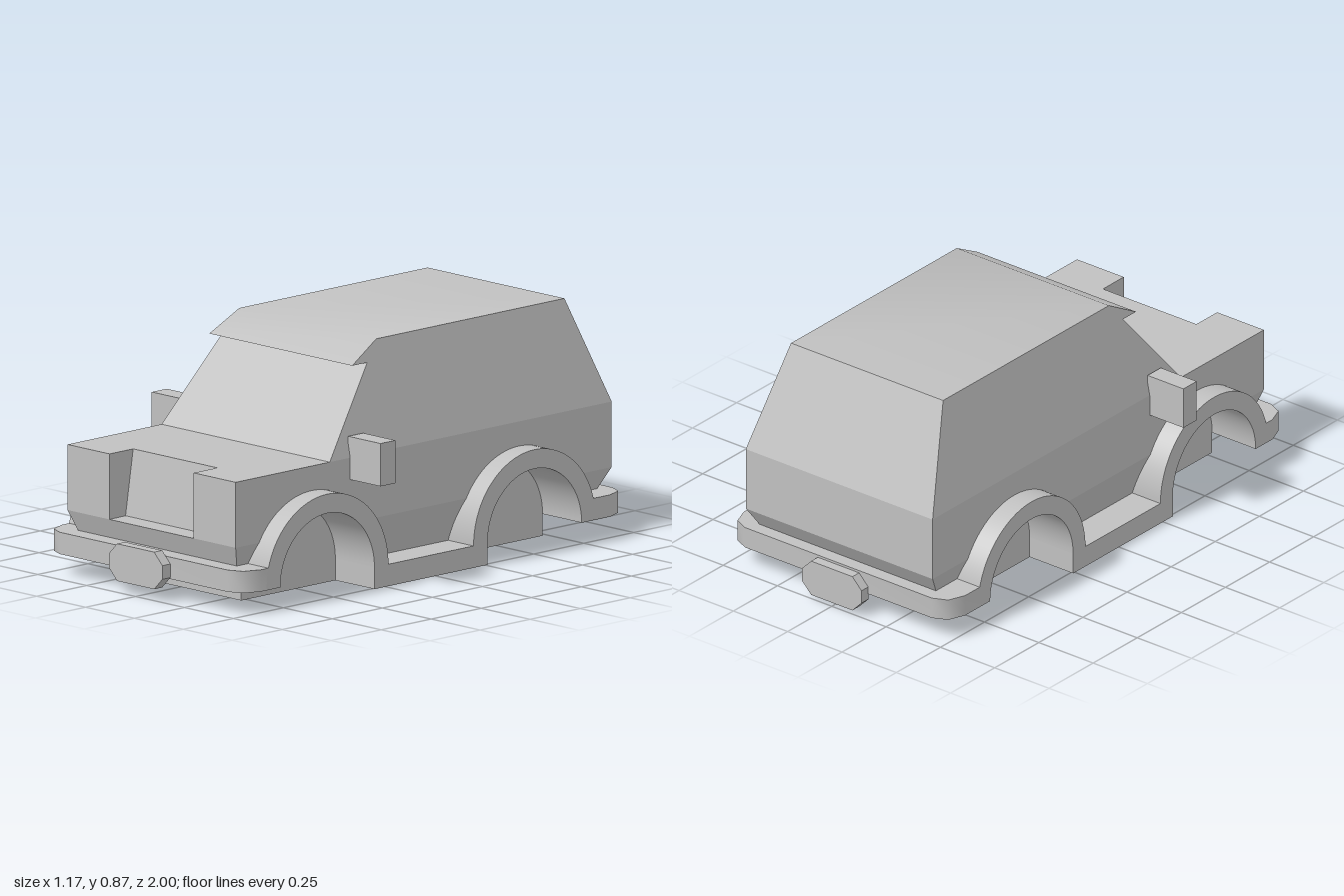
import * as THREE from 'three';
import { toCreasedNormals } from 'three/addons/utils/BufferGeometryUtils.js';

export function createModel() {
  const car = new THREE.Group();
  car.name = 'car';
  const grey = new THREE.MeshStandardMaterial({ color: 0xc0c0c0 });
  grey.name = 'plain grey';

  const WHEEL_Z = { front: 0.54, rear: -0.495 };
  const AXLE_Y = 0.08, WELL_R = 0.235, ARCH_R = 0.305, WELL_X = 0.31, TRIM_X = 0.51;
  const BELT = 0.475, CREASE = 0.235;

  function add(name, geometry) {
    const mesh = new THREE.Mesh(geometry, grey);
    mesh.name = name;
    car.add(mesh);
    return mesh;
  }
  function box(name, x0, x1, y0, y1, z0, z1) {
    add(name, new THREE.BoxGeometry(x1 - x0, y1 - y0, z1 - z0))
      .position.set((x0 + x1) / 2, (y0 + y1) / 2, (z0 + z1) / 2);
  }
  const outline = (points) => new THREE.Shape(points.map(([a, b]) => new THREE.Vector2(a, b)));
  const at = (v, y) => (typeof v === 'function' ? v(y) : v);

  // Side profile (z, y) spanned across x, from high to low; widths may vary with y
  function slab(name, shape, high, low) {
    const g = new THREE.ExtrudeGeometry(shape, { depth: 1, bevelEnabled: false, curveSegments: 28 });
    const p = g.attributes.position;
    for (let i = 0; i < p.count; i++) {
      const z = p.getX(i), y = p.getY(i), t = p.getZ(i);
      p.setXYZ(i, at(high, y) * (1 - t) + at(low, y) * t, y, z);
    }
    add(name, toCreasedNormals(g, 0.55));
  }
  function slabPair(name, shape, inner, outer) {
    slab(name + 'Left', shape, outer, inner);
    slab(name + 'Right', shape, (y) => -at(inner, y), (y) => -at(outer, y));
  }

  // Half-widths of the cabin and of the tapered skirt
  const cabinX = (y) => 0.43 - (y - BELT) * 0.08 / 0.39;
  const skirtX = (y) => 0.43 - (CREASE - y) * 0.025 / 0.078;

  // Cabin with raked windscreen, roof visor and sloping tail
  slab('cabin', outline([[-0.958, BELT], [0.45, BELT], [0.2, 0.79], [0.275, 0.79],
    [0.14, 0.865], [-0.8, 0.865]]), cabinX, (y) => -cabinX(y));

  // Middle of the body, with the grille recess at the nose
  slab('bodyCentre', outline([[-0.958, CREASE], [0.92, CREASE], [0.84, CREASE + 0.001],
    [0.802, BELT], [-0.958, BELT]]), 0.215, -0.215);
  slabPair('bodyInner', outline([[-0.958, CREASE], [0.92, CREASE], [0.92, BELT], [-0.958, BELT]]), 0.215, WELL_X);

  // Outer body sides, cut by the wheel wells
  const a = Math.asin((CREASE - AXLE_Y) / WELL_R), dz = WELL_R * Math.cos(a);
  const side = new THREE.Shape();
  side.moveTo(-0.958, CREASE);
  for (const z of [WHEEL_Z.rear, WHEEL_Z.front]) {
    side.lineTo(z - dz, CREASE);
    side.absarc(z, AXLE_Y, WELL_R, Math.PI - a, a, true);
  }
  side.lineTo(0.92, CREASE);
  side.lineTo(0.92, BELT);
  side.lineTo(-0.958, BELT);
  slabPair('bodySide', side, WELL_X, 0.43);

  // Skirt below the crease: centre, then the pieces between the wells
  slab('skirtCentre', outline([[-0.858, AXLE_Y], [0.86, AXLE_Y], [0.92, CREASE], [-0.958, CREASE]]), WELL_X, -WELL_X);

  const nose = new THREE.Shape();
  nose.moveTo(0.86, AXLE_Y);
  nose.lineTo(0.92, CREASE);
  nose.lineTo(WHEEL_Z.front + dz, CREASE);
  nose.absarc(WHEEL_Z.front, AXLE_Y, WELL_R, a, 0, true);
  slabPair('skirtFront', nose, WELL_X, skirtX);

  const middle = new THREE.Shape();
  middle.moveTo(WHEEL_Z.front - WELL_R, AXLE_Y);
  middle.absarc(WHEEL_Z.front, AXLE_Y, WELL_R, Math.PI, Math.PI - a, true);
  middle.lineTo(WHEEL_Z.rear + dz, CREASE);
  middle.absarc(WHEEL_Z.rear, AXLE_Y, WELL_R, a, 0, true);
  slabPair('skirtMiddle', middle, WELL_X, skirtX);

  const tail = new THREE.Shape();
  tail.moveTo(WHEEL_Z.rear - WELL_R, AXLE_Y);
  tail.absarc(WHEEL_Z.rear, AXLE_Y, WELL_R, Math.PI, Math.PI - a, true);
  tail.lineTo(-0.958, CREASE);
  tail.lineTo(-0.858, AXLE_Y);
  slabPair('skirtRear', tail, WELL_X, skirtX);

  // Wheel arch flares
  for (const [end, z] of Object.entries(WHEEL_Z)) {
    const arch = new THREE.Shape();
    arch.absarc(z, AXLE_Y, ARCH_R, 0, Math.PI, false);
    arch.absarc(z, AXLE_Y, WELL_R, Math.PI, 0, true);
    slabPair(end + 'WheelArch', arch, WELL_X, TRIM_X);
  }

  // Chassis floor and side sills
  box('chassis', -WELL_X, WELL_X, 0, AXLE_Y, WHEEL_Z.rear - WELL_R, WHEEL_Z.front + WELL_R);
  box('sill', -TRIM_X, TRIM_X, 0, AXLE_Y, WHEEL_Z.rear + WELL_R, WHEEL_Z.front - WELL_R);

  // Bumpers with rounded corners, drawn in plan and raised
  function bumper(name, inner, outer, facing) {
    const plan = outline([[-TRIM_X, inner], [TRIM_X, inner], [TRIM_X, outer - 0.09], [0.485, outer - 0.025],
      [0.43, outer], [-0.43, outer], [-0.485, outer - 0.025], [-TRIM_X, outer - 0.09]]);
    const g = new THREE.ExtrudeGeometry(plan, { depth: 0.08, bevelEnabled: false });
    g.rotateX(Math.PI / 2);
    if (facing < 0) g.rotateY(Math.PI);
    g.translate(0, 0.16, 0);
    add(name, toCreasedNormals(g, 0.85));
  }
  bumper('frontBumper', WHEEL_Z.front + WELL_R, 0.96, 1);
  bumper('rearBumper', WELL_R - WHEEL_Z.rear, 0.962, -1);

  // Eight-sided blank plates on the bumpers
  const plate = outline([[-0.137, -0.025], [-0.095, -0.068], [0.095, -0.068], [0.137, -0.025],
    [0.137, 0.025], [0.095, 0.068], [-0.095, 0.068], [-0.137, 0.025]]);
  for (const [name, y, z] of [['frontPlate', 0.11, 0.96], ['rearPlate', 0.083, -1]]) {
    add(name, new THREE.ExtrudeGeometry(plate, { depth: 0.04, bevelEnabled: false })).position.set(0, y, z);
  }

  // Door mirrors
  box('mirrorLeft', 0.42, 0.585, 0.395, 0.552, 0.273, 0.348);
  box('mirrorRight', -0.585, -0.42, 0.395, 0.552, 0.273, 0.348);

  return car;
}
